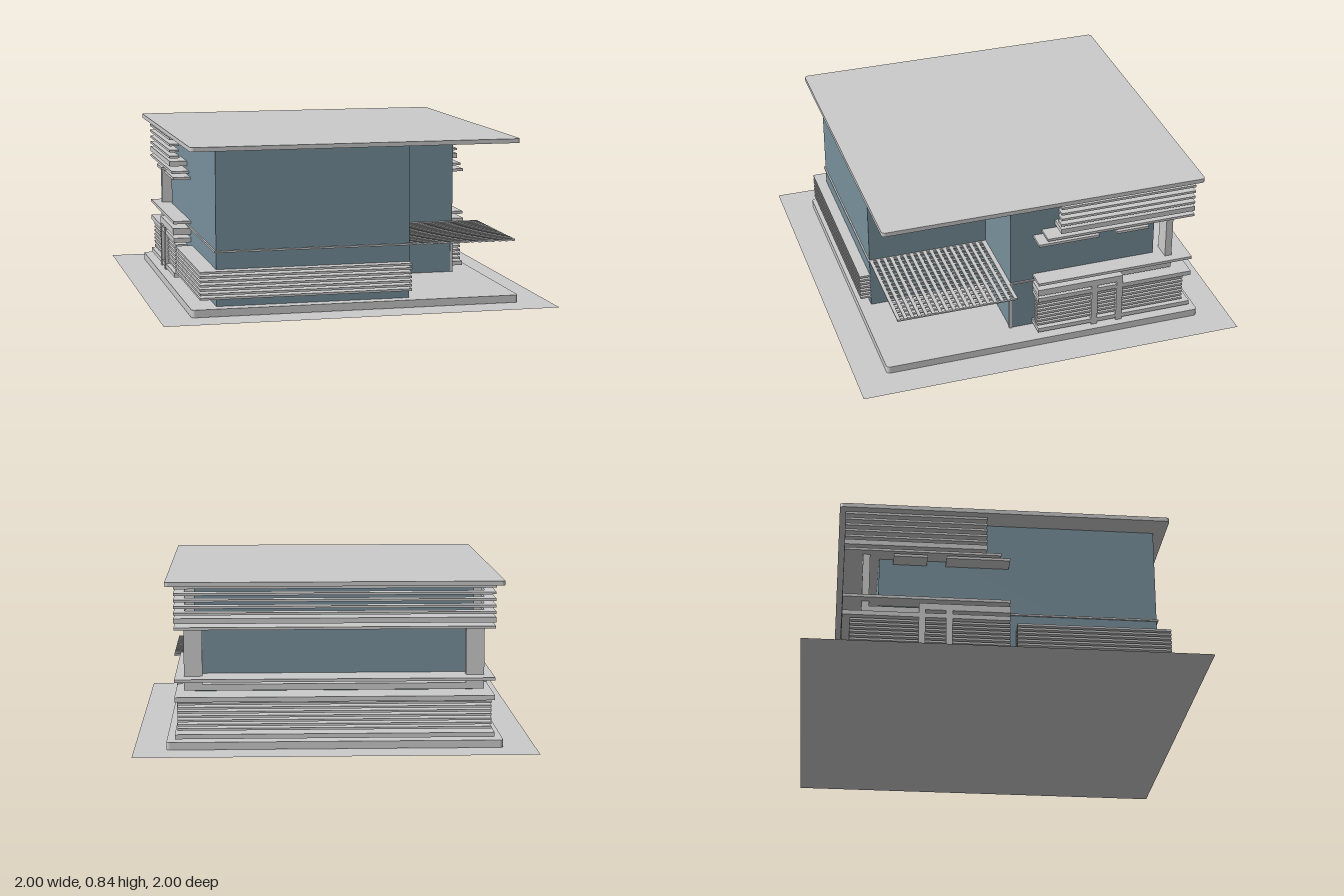
import * as THREE from 'three';

export function createModel() {
  const model = new THREE.Group();
  const grey = new THREE.MeshStandardMaterial({ color: 0xcccccc });
  const glass = new THREE.MeshStandardMaterial({ color: 0x78909c });

  const add = (name, geometry, material = grey, parent = model) => {
    const mesh = new THREE.Mesh(geometry, material);
    mesh.name = name;
    parent.add(mesh);
    return mesh;
  };

  const group = (name) => {
    const g = new THREE.Group();
    g.name = name;
    model.add(g);
    return g;
  };

  // Box given by its limits on each axis
  const box = (name, [x0, x1], [y0, y1], [z0, z1], parent = model) => {
    const g = new THREE.BoxGeometry(x1 - x0, y1 - y0, z1 - z0);
    g.translate((x0 + x1) / 2, (y0 + y1) / 2, (z0 + z1) / 2);
    return add(name, g, grey, parent);
  };

  // Flat plan shape raised from y0 to y1
  const raise = (shape, y0, y1) => {
    const g = new THREE.ExtrudeGeometry(shape, { depth: y1 - y0, bevelEnabled: false, curveSegments: 4 });
    g.rotateX(-Math.PI / 2);
    return g.translate(0, y0, 0);
  };
  const plan = (points) => new THREE.Shape(points.map(([x, z]) => new THREE.Vector2(x, -z)));

  // U-shaped band along both sides and the back
  const band = (name, y0, y1, xOut, zOut, zFront, xIn, zIn, parent = model) =>
    add(name, raise(plan([
      [-xOut, zFront], [-xIn, zFront], [-xIn, -zIn], [xIn, -zIn],
      [xIn, zFront], [xOut, zFront], [xOut, -zOut], [-xOut, -zOut],
    ]), y0, y1), grey, parent);

  // Square slab with slightly rounded corners
  const slab = (name, y0, y1, h = 0.838, r = 0.018) => {
    const s = new THREE.Shape();
    s.absarc(h - r, h - r, r, 0, Math.PI / 2);
    s.absarc(r - h, h - r, r, Math.PI / 2, Math.PI);
    s.absarc(r - h, r - h, r, Math.PI, Math.PI * 1.5);
    s.absarc(h - r, r - h, r, Math.PI * 1.5, Math.PI * 2);
    return add(name, raise(s, y0, y1));
  };

  // Ground, base and roof
  const ground = new THREE.PlaneGeometry(2, 2).rotateX(-Math.PI / 2);
  add('ground', ground, new THREE.MeshStandardMaterial({ color: 0xcccccc, side: THREE.DoubleSide }));
  slab('baseSlab', 0.002, 0.04);
  slab('roofSlab', 0.816, 0.838);

  // Glazed L-shaped volume with a thin belt around it
  const ell = (o) => plan([
    [-0.705 - o, 0.775 + o], [0.28 + o, 0.775 + o], [0.28 + o, 0.145 + o],
    [0.7 + o, 0.145 + o], [0.7 + o, -0.63 - o], [-0.705 - o, -0.63 - o],
  ]);
  add('glazedWalls', raise(ell(0), 0.04, 0.816), glass);
  add('belt', raise(ell(0.008), 0.309, 0.318));

  // Door frame posts in the entrance recess
  box('doorPost', [0.275, 0.287], [0.04, 0.31], [0.315, 0.327]);
  box('doorPost', [0.275, 0.287], [0.04, 0.31], [0.143, 0.157]);
  box('cornerPost', [0.69, 0.704], [0.04, 0.31], [0.137, 0.15]);

  // Lattice canopy over the entrance
  const canopy = group('canopy');
  for (let i = 0; i < 18; i++) {
    const z = 0.15 + i * 0.0358;
    box('canopySlat', [0.28, 0.838], [0.31, 0.318], [z, z + 0.018], canopy);
  }
  for (let i = 0; i < 16; i++) {
    const x = 0.285 + i * 0.036;
    box('canopyBar', [x, x + 0.012], [0.307, 0.314], [0.15, 0.775], canopy);
  }

  // Front louvres, turning the corner along one side
  const frontLouvres = group('frontLouvres');
  for (let i = 0; i < 7; i++) {
    const y = 0.085 + i * 0.0215;
    add('frontLouvre', raise(plan([
      [-0.795, 0.83], [0.28, 0.83], [0.28, 0.775], [-0.705, 0.775], [-0.705, 0.06], [-0.795, 0.06],
    ]), y, y + 0.011), grey, frontLouvres);
  }

  // Lower terrace: sill, louvres, shelf, beam and floor
  const terrace = group('lowerTerrace');
  band('sill', 0.05, 0.073, 0.797, 0.808, 0.025, 0.7, 0.62, terrace);
  for (let i = 0; i < 7; i++) {
    const y = 0.085 + i * 0.0215;
    band('terraceLouvre', y, y + 0.011, 0.785, 0.77, 0.025, 0.725, 0.71, terrace);
  }
  band('shelf', 0.236, 0.26, 0.797, 0.808, 0.025, 0.7, 0.62, terrace);
  band('ringBeam', 0.277, 0.309, 0.752, 0.713, 0.02, 0.69, 0.62, terrace);
  band('terraceFloor', 0.335, 0.35, 0.797, 0.808, 0.025, 0.69, 0.62, terrace);

  // Upper louvred screen under the roof
  const screen = group('upperScreen');
  band('screenSoffit', 0.597, 0.61, 0.797, 0.808, -0.02, 0.69, 0.62, screen);
  band('screenRail', 0.628, 0.655, 0.797, 0.808, -0.09, 0.69, 0.62, screen);
  for (let i = 0; i < 5; i++) {
    const y = 0.671 + i * 0.0325;
    band('screenLouvre', y, y + 0.012, 0.797, 0.808, -0.09, 0.745, 0.745, screen);
  }

  // Parts repeated on both sides
  for (const s of [-1, 1]) {
    const side = group(s > 0 ? 'leftSide' : 'rightSide');
    const put = (name, [a, b], y, z) =>
      box(name, s > 0 ? [a, b] : [-b, -a], y, z, side);

    put('cornerColumn', [0.66, 0.752], [0.3, 0.6], [-0.713, -0.677]);
    put('columnReturn', [0.71, 0.752], [0.3, 0.6], [-0.69, -0.677]);
    put('screenPost', [0.69, 0.752], [0.61, 0.816], [-0.605, -0.56]);

    // Staggered shelves below the screen
    put('shelf', [0.69, 0.797], [0.57, 0.584], [-0.295, 0.025]);
    put('shelf', [0.69, 0.797], [0.57, 0.584], [-0.56, -0.39]);

    // Side portal: beam on paired posts
    put('portalBeam', [0.7, 0.8], [0.277, 0.312], [-0.43, 0.027]);
    for (const z of [-0.295, -0.43]) {
      put('portalPost', [0.77, 0.8], [0.04, 0.3], [z, z + 0.033]);
      put('portalPost', [0.7, 0.725], [0.04, 0.3], [z, z + 0.033]);
    }
  }

  return model;
}
